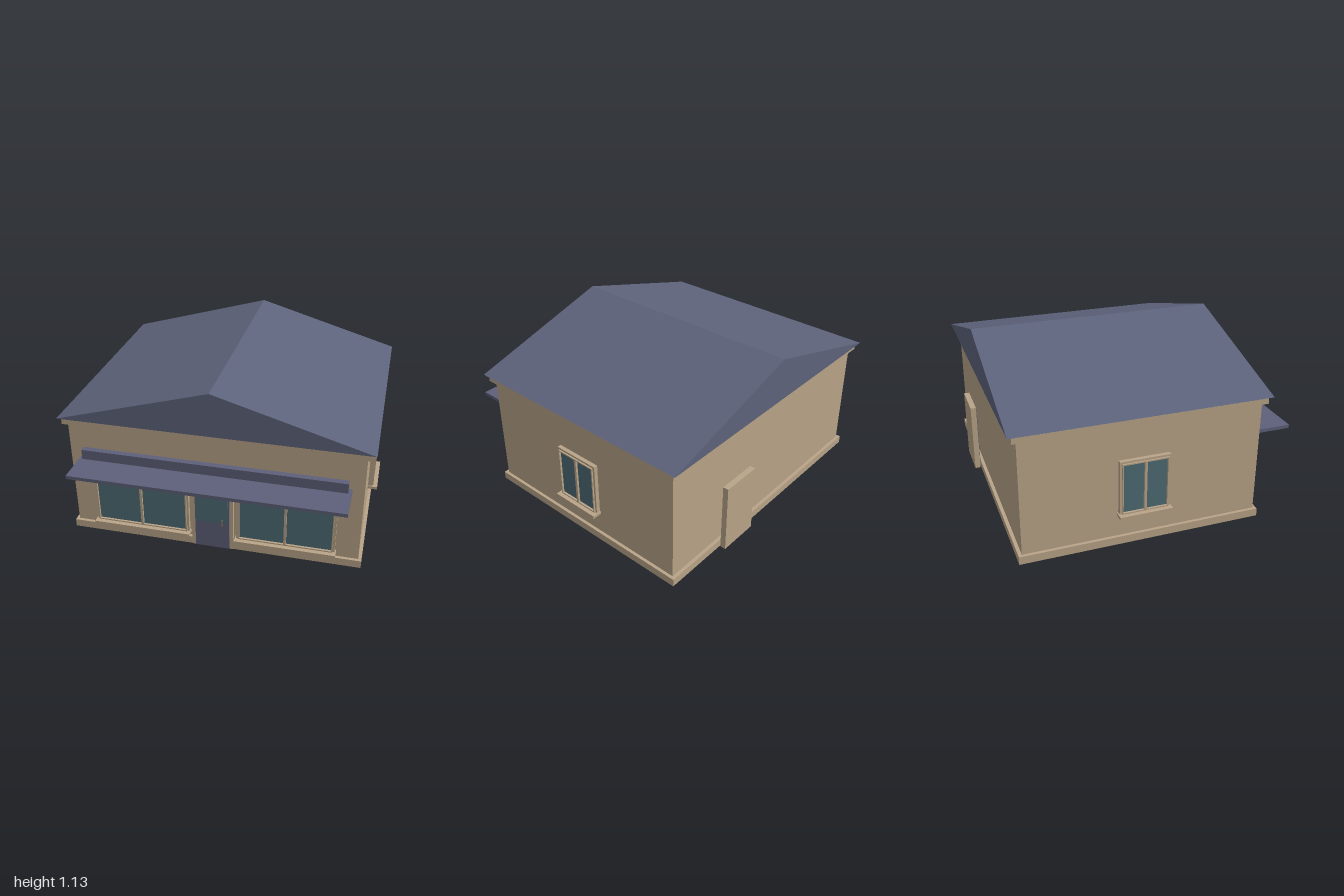
import * as THREE from 'three';

const mat = (name, color) => {
  const m = new THREE.MeshStandardMaterial({ color });
  m.name = name;
  return m;
};

export function createModel() {
  const tan = mat('tan plaster', 0xb9a488);
  const slate = mat('slate blue', 0x5d637b);
  const paint = mat('door and awning paint', 0x5d607a);
  const glass = mat('teal glass', 0x4d6b74);
  const metal = mat('handle metal', 0x857860);

  const model = new THREE.Group();
  model.name = 'house';

  // Box given by its limits on each axis
  const box = (parent, name, m, x0, x1, y0, y1, z0, z1) => {
    const mesh = new THREE.Mesh(new THREE.BoxGeometry(x1 - x0, y1 - y0, z1 - z0), m);
    mesh.position.set((x0 + x1) / 2, (y0 + y1) / 2, (z0 + z1) / 2);
    mesh.name = name;
    parent.add(mesh);
    return mesh;
  };

  // Four bars around an opening, local z outwards from the wall
  const frame = (parent, name, w, y0, y1, t, z0, z1) => {
    box(parent, name, tan, -w, -w + t, y0, y1, z0, z1);
    box(parent, name, tan, w - t, w, y0, y1, z0, z1);
    box(parent, name, tan, -w + t, w - t, y1 - t, y1, z0, z1);
    box(parent, name, tan, -w + t, w - t, y0, y0 + t, z0, z1);
  };

  // Two-pane window with its sill; z = 0 is the wall surface
  const makeWindow = (name, w, y0, y1, sillDepth) => {
    const g = new THREE.Group();
    g.name = name;
    frame(g, 'windowFrame', w, y0, y1, 0.014, 0, 0.026);
    frame(g, 'windowSash', w - 0.013, y0 + 0.012, y1 - 0.013, 0.008, 0, 0.036);
    box(g, 'windowPane', glass, -w + 0.02, w - 0.02, y0 + 0.016, y1 - 0.02, 0.014, 0.022);
    box(g, 'mullion', tan, -0.008, 0.008, y0 + 0.016, y1 - 0.02, 0, 0.036);
    box(g, 'windowSill', tan, -w - 0.008, w + 0.008, y0 - 0.008, y0 + 0.011, 0, sillDepth);
    model.add(g);
    return g;
  };

  // Walls, plinth and cornice
  box(model, 'walls', tan, -0.937, 0.937, 0.02, 0.82, -0.85, 0.658);
  box(model, 'plinth', tan, -0.957, 0.957, 0, 0.052, -0.872, 0.679);
  box(model, 'cornice', tan, -0.966, 0.966, 0.793, 0.829, -0.879, 0.685);

  // Gable roof, ridge running front to back
  const gable = new THREE.Shape([
    new THREE.Vector2(-0.988, 0.841),
    new THREE.Vector2(0.988, 0.841),
    new THREE.Vector2(0, 1.128),
  ]);
  const roof = new THREE.Mesh(
    new THREE.ExtrudeGeometry(gable, { depth: 1.613, bevelEnabled: false }), slate);
  roof.position.z = -0.905;
  roof.name = 'roof';
  model.add(roof);

  // Shopfront awning
  box(model, 'awningSlab', paint, -0.863, 0.863, 0.544, 0.567, 0.655, 0.914);
  box(model, 'awningFascia', paint, -0.842, 0.842, 0.567, 0.633, 0.668, 0.708);

  // Front and side windows
  for (const side of [-1, 1]) {
    makeWindow('frontWindow', 0.316, 0.087, 0.552, 0.064).position.set(side * 0.472, 0, 0.658);
    const sideWindow = makeWindow('sideWindow', 0.16, 0.203, 0.565, 0.063);
    sideWindow.position.set(side * 0.937, 0, -0.097);
    sideWindow.rotation.y = side * Math.PI / 2;
  }

  // Door: surround, leaf, upper pane and handle
  const makeDoor = (name) => {
    const g = new THREE.Group();
    g.name = name;
    box(g, 'doorSurround', tan, -0.137, 0.137, 0, 0.47, -0.037, 0);
    box(g, 'doorLeaf', paint, -0.112, 0.112, 0.003, 0.444, 0, 0.006);
    box(g, 'doorPane', glass, -0.104, 0.104, 0.2, 0.434, 0.006, 0.008);
    box(g, 'doorHandle', metal, 0.063, 0.071, 0.18, 0.23, 0.012, 0.018);
    for (const y of [0.188, 0.222]) {
      box(g, 'handleMount', metal, 0.064, 0.07, y - 0.003, y + 0.003, 0.006, 0.013);
    }
    model.add(g);
    return g;
  };
  makeDoor('frontDoor').position.z = 0.682;
  makeDoor('backDoor').position.set(0.375, 0, -0.877);

  return model;
}
